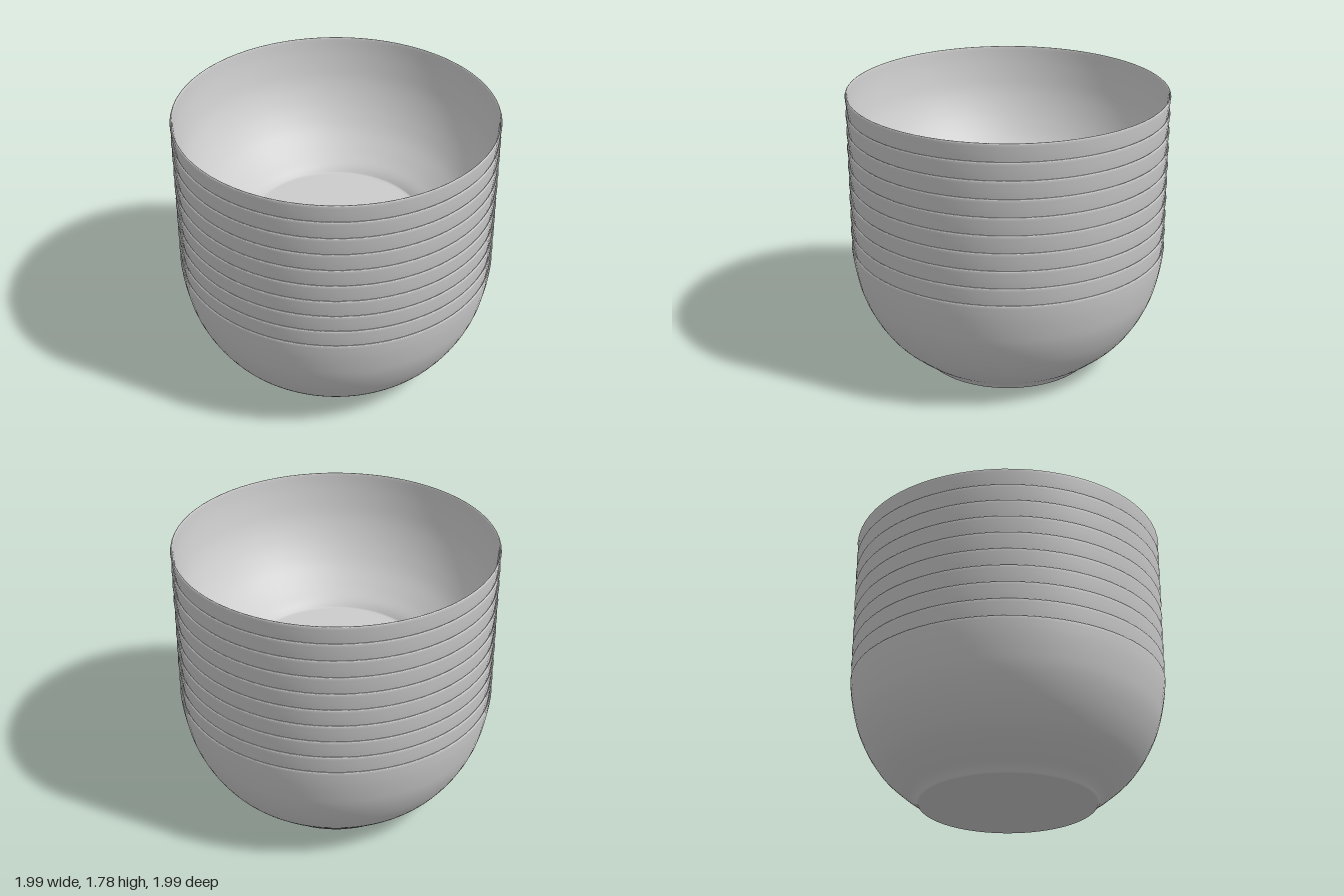
import * as THREE from 'three';

const BOWLS = 10, PITCH = 0.11, WALL = 0.012;

export function createModel() {
  const group = new THREE.Group();
  group.name = 'bowlStack';
  const material = new THREE.MeshStandardMaterial({ color: 0xcccccc, side: THREE.DoubleSide });
  const v = (x, y) => new THREE.Vector2(x, y);

  // Wall curve from the foot, flaring out and rounding up to the rim
  const curve = new THREE.SplineCurve([
    v(0.555, 0.006), v(0.59, 0.045), v(0.67, 0.105), v(0.775, 0.2), v(0.85, 0.3),
    v(0.905, 0.4), v(0.945, 0.5), v(0.97, 0.6), v(0.988, 0.7), v(0.997, 0.782),
  ]);
  const outer = curve.getPoints(36);

  // Inside wall: the same curve moved in by the wall thickness
  const inner = outer.map((p, i) => {
    const t = curve.getTangent(i / 36);
    return v(p.x - t.y * WALL, p.y + t.x * WALL);
  }).reverse();

  // Closed section: flat foot, outside, rounded rim, inside, flat floor
  const profile = [
    v(0, 0), v(0.54, 0), v(0.55, 0), ...outer,
    v(0.995, 0.789), v(0.991, 0.791), v(0.987, 0.789),
    ...inner, v(0.535, 0.013), v(0.52, 0.012), v(0, 0.012),
  ];
  const geometry = new THREE.LatheGeometry(profile, 72);

  // Nested bowls at an even pitch
  for (let i = 0; i < BOWLS; i++) {
    const bowl = new THREE.Mesh(geometry, material);
    bowl.name = `bowl${i + 1}`;
    bowl.position.y = i * PITCH;
    group.add(bowl);
  }
  return group;
}
